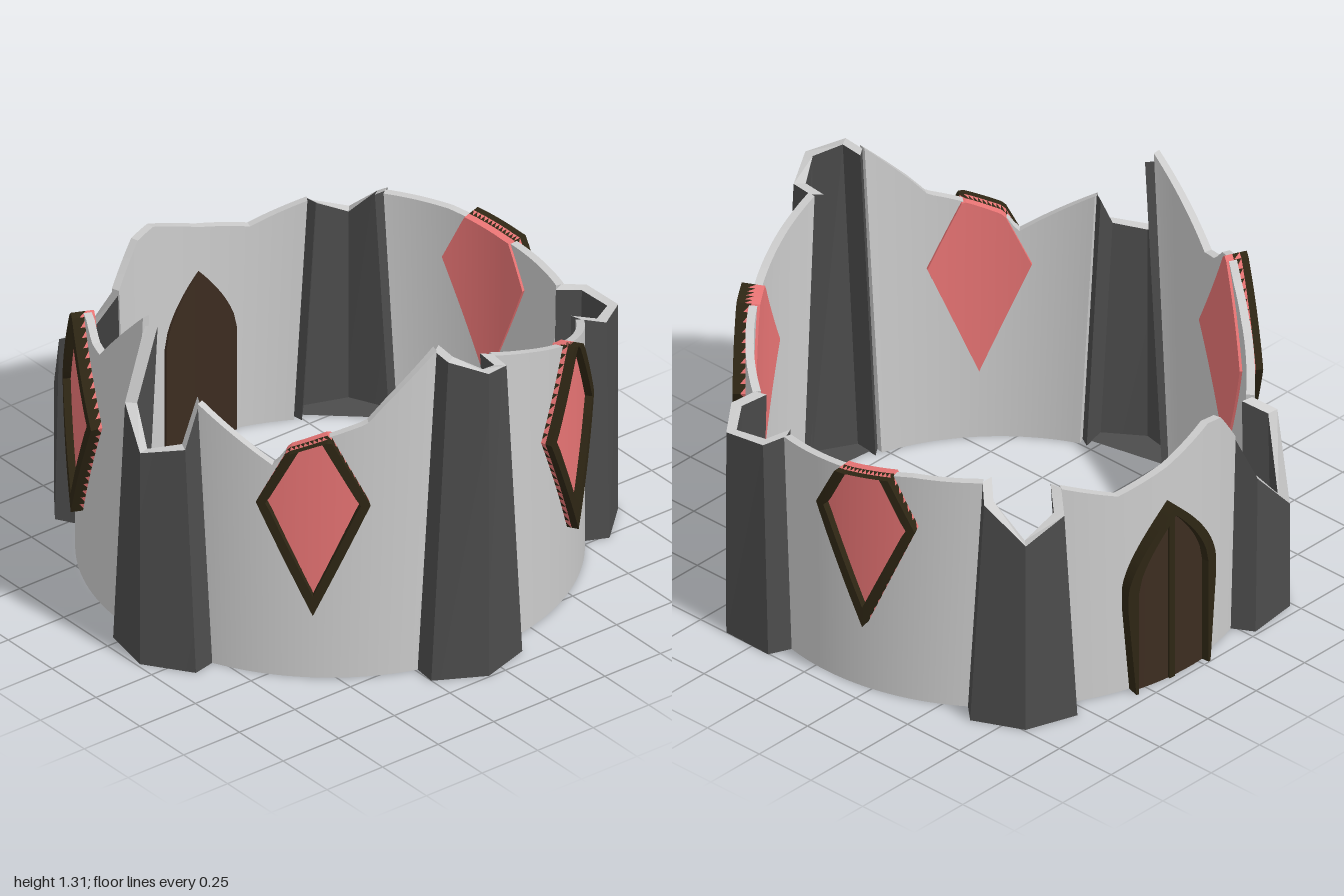
import * as THREE from 'three';
import { toCreasedNormals } from 'three/addons/utils/BufferGeometryUtils.js';

const material = (color) => new THREE.MeshStandardMaterial({ color, side: THREE.DoubleSide });
const STONE = material(0xcccccc);
const DARK_STONE = material(0x4c4c4c);
const GLASS = material(0xe87474);
const FRAME = material(0x2e2614);
const WOOD = material(0x3c2c20);

const R_OUT = 0.9, R_IN = 0.87;
const STEP = (Math.PI * 2) / 5;
const FIRST = THREE.MathUtils.degToRad(6);

// Buttress half-width shrinks with height
const halfWidth = (y) => 0.19 - 0.055 * y;
const polar = (r, a, y) => new THREE.Vector3(r * Math.cos(a), y, r * Math.sin(a));

// Linear lookup in a list of [position, value] points
function lookup(points, f) {
  for (let i = 1; i < points.length; i++) {
    const [f0, v0] = points[i - 1], [f1, v1] = points[i];
    if (f <= f1) return v0 + ((v1 - v0) * (f - f0)) / (f1 - f0);
  }
  return points[points.length - 1][1];
}

function quads(list, crease) {
  const pos = [];
  for (const [a, b, c, d] of list) for (const p of [a, b, c, a, c, d]) pos.push(p.x, p.y, p.z);
  const geo = new THREE.BufferGeometry();
  geo.setAttribute('position', new THREE.Float32BufferAttribute(pos, 3));
  return toCreasedNormals(geo, crease);
}

// Thick strip through columns with outer/inner, bottom/top corners
function shell(name, cols, mat, topMat = mat, crease = 0.5) {
  const sides = [], tops = [];
  for (let i = 1; i < cols.length; i++) {
    const a = cols[i - 1], b = cols[i];
    sides.push([b.ob, a.ob, a.ot, b.ot], [a.ib, b.ib, b.it, a.it], [a.ob, b.ob, b.ib, a.ib]);
    tops.push([a.ot, a.it, b.it, b.ot]);
  }
  const s = cols[0], e = cols[cols.length - 1];
  sides.push([s.ob, s.ib, s.it, s.ot], [e.ib, e.ob, e.ot, e.it]);
  const group = new THREE.Group();
  group.name = name;
  const body = new THREE.Mesh(quads(sides, crease), mat);
  body.name = name + 'Body';
  const edge = new THREE.Mesh(quads(tops, 0.3), topMat);
  edge.name = name + 'TopEdge';
  group.add(body, edge);
  return group;
}

// Curved wall panel between two buttresses
const panelHalf = (y) => STEP / 2 - Math.asin(halfWidth(y) / R_OUT);
function wallPanel(mid, profile) {
  const cols = [], n = 40;
  for (let i = 0; i <= n; i++) {
    const f = i / n, h = lookup(profile, f);
    const a0 = mid + (2 * f - 1) * panelHalf(0), a1 = mid + (2 * f - 1) * panelHalf(h);
    cols.push({ ob: polar(R_OUT, a0, 0), ot: polar(R_OUT, a1, h), ib: polar(R_IN, a0, 0), it: polar(R_IN, a1, h) });
  }
  return shell('wallPanel', cols, STONE, STONE, 0.6);
}

// Hollow folded buttress with a floor
function buttress(angle, heights) {
  const at = (t, r, y) => new THREE.Vector3(r, y, t).applyAxisAngle(new THREE.Vector3(0, 1, 0), -angle);
  const radiiOut = [0.88, 0.97, 1.05, 0.97, 0.88], radiiIn = [0.85, 0.945, 1.01, 0.945, 0.85];
  const side = [-1, -1, 0, 1, 1];
  const cols = heights.map((h, i) => {
    const out = (y) => at(side[i] * halfWidth(y), radiiOut[i], y);
    const inn = (y) => at(side[i] * (halfWidth(y) - 0.035), radiiIn[i], y);
    return { ob: out(0), ot: out(h), ib: inn(0), it: inn(h) };
  });
  const group = shell('buttress', cols, DARK_STONE, STONE, 0.2);
  const p = cols.map((c) => c.ob.clone().setY(0.004));
  const floor = new THREE.Mesh(quads([[p[0], p[4], p[3], p[1]], [p[1], p[3], p[2], p[2]]], 0.1), DARK_STONE);
  floor.name = 'buttressFloor';
  group.add(floor);
  return group;
}

// Curved slab over t0..t1 along the wall, between low(t) and high(t)
function band(name, mid, [t0, t1], low, high, rOut, rIn, mat) {
  const cols = [], n = 24;
  for (let i = 0; i <= n; i++) {
    const t = t0 + ((t1 - t0) * i) / n, a = mid + t / R_OUT;
    const lo = low(t), hi = Math.max(lo, high(t));
    cols.push({ ob: polar(rOut, a, lo), ot: polar(rOut, a, hi), ib: polar(rIn, a, lo), it: polar(rIn, a, hi) });
  }
  return shell(name, cols, mat);
}

// Kite window cut off by the broken wall top
function kiteWindow(mid, profile) {
  const group = new THREE.Group();
  group.name = 'kiteWindow';
  const wallTop = (t) => lookup(profile, 0.5 + t / R_OUT / (2 * panelHalf(1))) + 0.004;
  const W = 0.195, w = 0.16, Y = 0.73;
  const outLow = (t) => Y - 0.45 * (1 - Math.abs(t) / W);
  const outHigh = (t) => Y + 0.39 * (1 - Math.abs(t) / W);
  const inLow = (t) => Y - 0.37 * Math.max(0, 1 - Math.abs(t) / w);
  const inHigh = (t) => Y + 0.32 * Math.max(0, 1 - Math.abs(t) / w);
  const clip = (fn) => (t) => Math.min(fn(t), wallTop(t));
  group.add(
    band('glass', mid, [-W, W], outLow, clip(outHigh), 0.918, 0.86, GLASS),
    band('lowerFrame', mid, [-W, W], outLow, inLow, 0.945, 0.89, FRAME),
    band('upperFrame', mid, [-W, W], clip(inHigh), clip(outHigh), 0.945, 0.89, FRAME)
  );
  return group;
}

// Pointed arch door with jambs
function archDoor(mid) {
  const group = new THREE.Group();
  group.name = 'archDoor';
  const W = 0.195, w = 0.155;
  const low = (t) => Math.max(0, (Math.abs(t) - 0.165) / 0.03) * 0.35;
  const outHigh = (t) => 0.42 + 0.31 * Math.pow(1 - Math.abs(t) / W, 0.6);
  const inHigh = (t) => 0.42 + 0.27 * Math.pow(Math.max(0, 1 - Math.abs(t) / w), 0.6);
  group.add(
    band('doorLeaf', mid, [-w, w], () => 0, inHigh, 0.92, 0.86, WOOD),
    band('doorJamb', mid, [-W, -w], low, outHigh, 0.95, 0.89, FRAME),
    band('doorJamb', mid, [w, W], low, outHigh, 0.95, 0.89, FRAME),
    band('doorArch', mid, [-w, w], inHigh, outHigh, 0.95, 0.89, FRAME),
    band('doorCentreStrip', mid, [-0.012, 0.012], () => 0, inHigh, 0.928, 0.89, FRAME)
  );
  return group;
}

export function createModel() {
  const model = new THREE.Group();
  model.name = 'ruinedTower';
  const ring = new THREE.Group();
  ring.name = 'towerRing';
  ring.position.set(-0.05, 0, -0.04);
  model.add(ring);

  // Broken top heights of each buttress and of the panel after it
  const buttressTops = [
    [1.2, 1.2, 1.245, 1.29, 1.29],
    [1.05, 0.9, 0.87, 0.99, 1.27],
    [0.76, 0.72, 0.43, 0.62, 0.78],
    [0.9, 0.84, 0.77, 0.9, 0.94],
    [0.865, 0.85, 0.84, 0.86, 0.885],
  ];
  const panelTops = [
    [[0, 1.3], [0.2, 1.12], [0.28, 1.04], [0.47, 0.98], [0.61, 0.93], [0.67, 0.86], [1, 1.05]],
    [[0, 1.31], [0.3, 1.02], [0.38, 1.03], [0.45, 1.09], [0.51, 1.1], [0.57, 1.03], [0.7, 0.93], [1, 0.77]],
    [[0, 0.78], [0.15, 0.93], [0.25, 0.95], [0.5, 0.87], [0.75, 0.82], [1, 0.9]],
    [[0, 0.94], [0.3, 0.93], [0.6, 0.89], [1, 0.865]],
    [[0, 0.885], [0.2, 0.94], [0.5, 1.03], [0.8, 1.135], [1, 1.2]],
  ];
  for (let k = 0; k < 5; k++) {
    const angle = FIRST + k * STEP, mid = angle + STEP / 2;
    ring.add(buttress(angle, buttressTops[k]), wallPanel(mid, panelTops[k]));
    ring.add(k === 2 ? archDoor(mid) : kiteWindow(mid, panelTops[k]));
  }
  return model;
}
